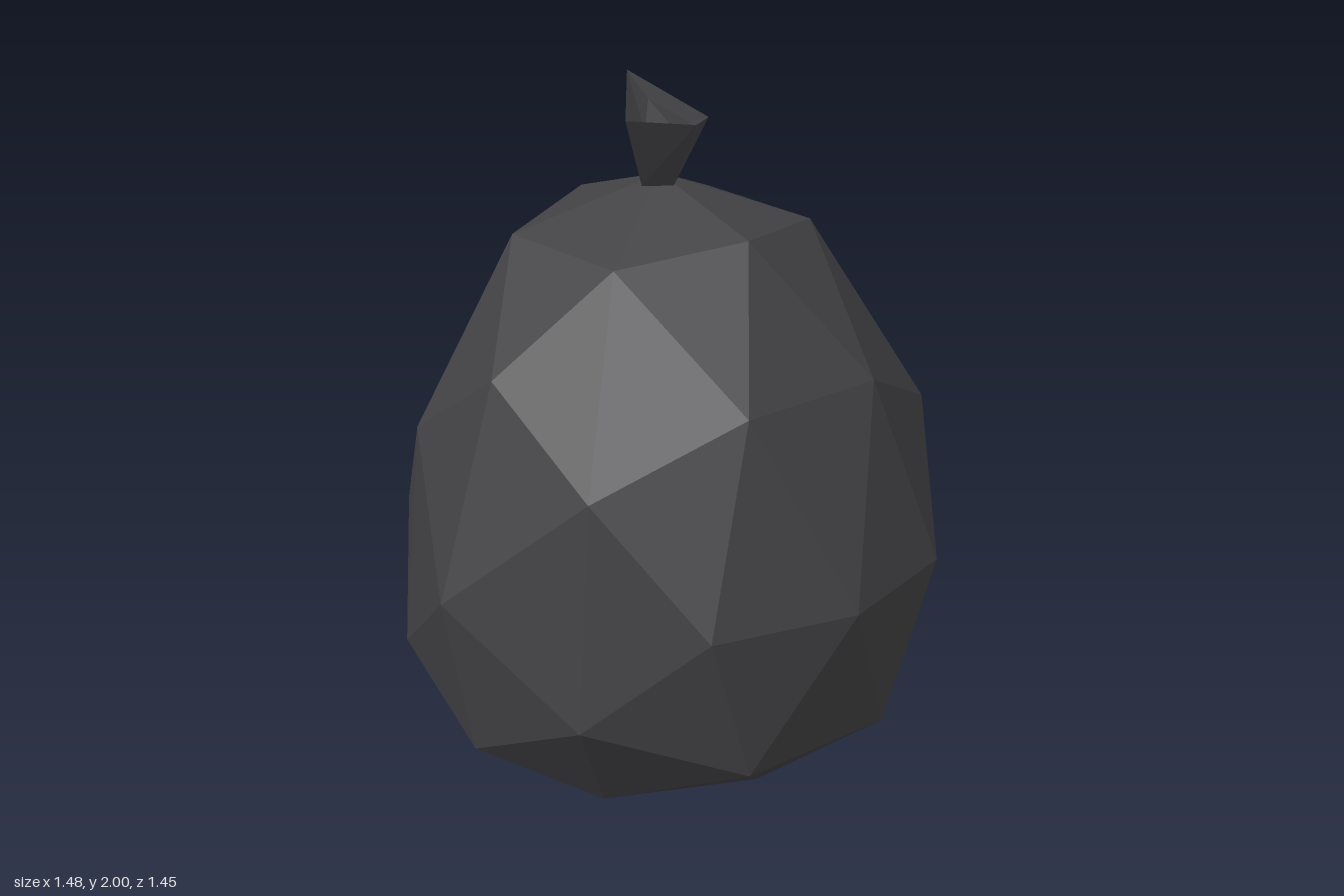
import * as THREE from 'three';

// Sack profile by height on a unit sphere: [sphere y, model y, width factor, x offset]
const PROFILE = [
  [-1, 0, 0.81, -0.025], [-0.851, 0.04, 0.81, -0.025], [-0.809, 0.055, 0.81, -0.03],
  [-0.526, 0.21, 0.80, -0.01], [-0.5, 0.23, 0.80, -0.01], [-0.309, 0.39, 0.78, -0.005],
  [0, 0.685, 0.785, -0.005], [0.309, 1.04, 0.745, 0.015], [0.5, 1.24, 0.72, 0],
  [0.526, 1.28, 0.71, 0], [0.809, 1.58, 0.69, -0.015], [0.851, 1.62, 0.66, -0.015],
  [1, 1.73, 0.65, -0.02],
];

function profileAt(y) {
  let i = 0;
  while (i < PROFILE.length - 2 && y > PROFILE[i + 1][0]) i++;
  const a = PROFILE[i], b = PROFILE[i + 1];
  const t = THREE.MathUtils.clamp((y - a[0]) / (b[0] - a[0]), 0, 1);
  return [1, 2, 3].map((k) => THREE.MathUtils.lerp(a[k], b[k], t));
}

// Faceted ball reshaped into a sagging sack
function sackGeometry() {
  const geo = new THREE.IcosahedronGeometry(1, 1);
  geo.rotateY(-THREE.MathUtils.degToRad(58.28));
  const pos = geo.attributes.position;
  for (let i = 0; i < pos.count; i++) {
    const [y, width, shift] = profileAt(pos.getY(i));
    pos.setXYZ(i, pos.getX(i) * width + shift, y, pos.getZ(i) * width * 0.925);
  }
  geo.computeVertexNormals();
  return geo;
}

// Four-cornered rings joined into a flared, hollow tuft with a closed floor
function tuftGeometry(rings) {
  const out = [];
  const tri = (a, b, c) => out.push(...a, ...b, ...c);
  for (let r = 0; r < rings.length - 1; r++) {
    for (let i = 0; i < 4; i++) {
      const j = (i + 1) % 4, lo = rings[r], hi = rings[r + 1];
      tri(lo[i], hi[i], lo[j]);
      tri(lo[j], hi[i], hi[j]);
    }
  }
  const floor = rings[rings.length - 1];
  tri(floor[0], floor[2], floor[1]);
  tri(floor[0], floor[3], floor[2]);
  const geo = new THREE.BufferGeometry();
  geo.setAttribute('position', new THREE.Float32BufferAttribute(out, 3));
  geo.computeVertexNormals();
  return geo;
}

export function createModel() {
  const group = new THREE.Group();
  group.name = 'trashBag';
  const plastic = new THREE.MeshStandardMaterial({ color: 0x434346 });
  plastic.name = 'darkPlastic';
  plastic.flatShading = true;

  const sack = new THREE.Mesh(sackGeometry(), plastic);
  sack.name = 'sack';

  // Corners run back right side, back left side, front left side, front right side
  const tuft = new THREE.Mesh(tuftGeometry([
    [[-0.07, 1.715, -0.05], [0.035, 1.715, -0.05], [0.005, 1.715, 0.07], [-0.08, 1.715, 0.06]],
    [[-0.10, 2.0, -0.06], [0.12, 1.86, -0.06], [0.04, 1.92, 0.21], [-0.14, 1.93, 0.18]],
    [[-0.05, 1.93, -0.02], [0.06, 1.86, -0.02], [0.01, 1.87, 0.14], [-0.08, 1.88, 0.12]],
  ]), plastic);
  tuft.name = 'tiedTop';

  group.add(sack, tuft);
  return group;
}
